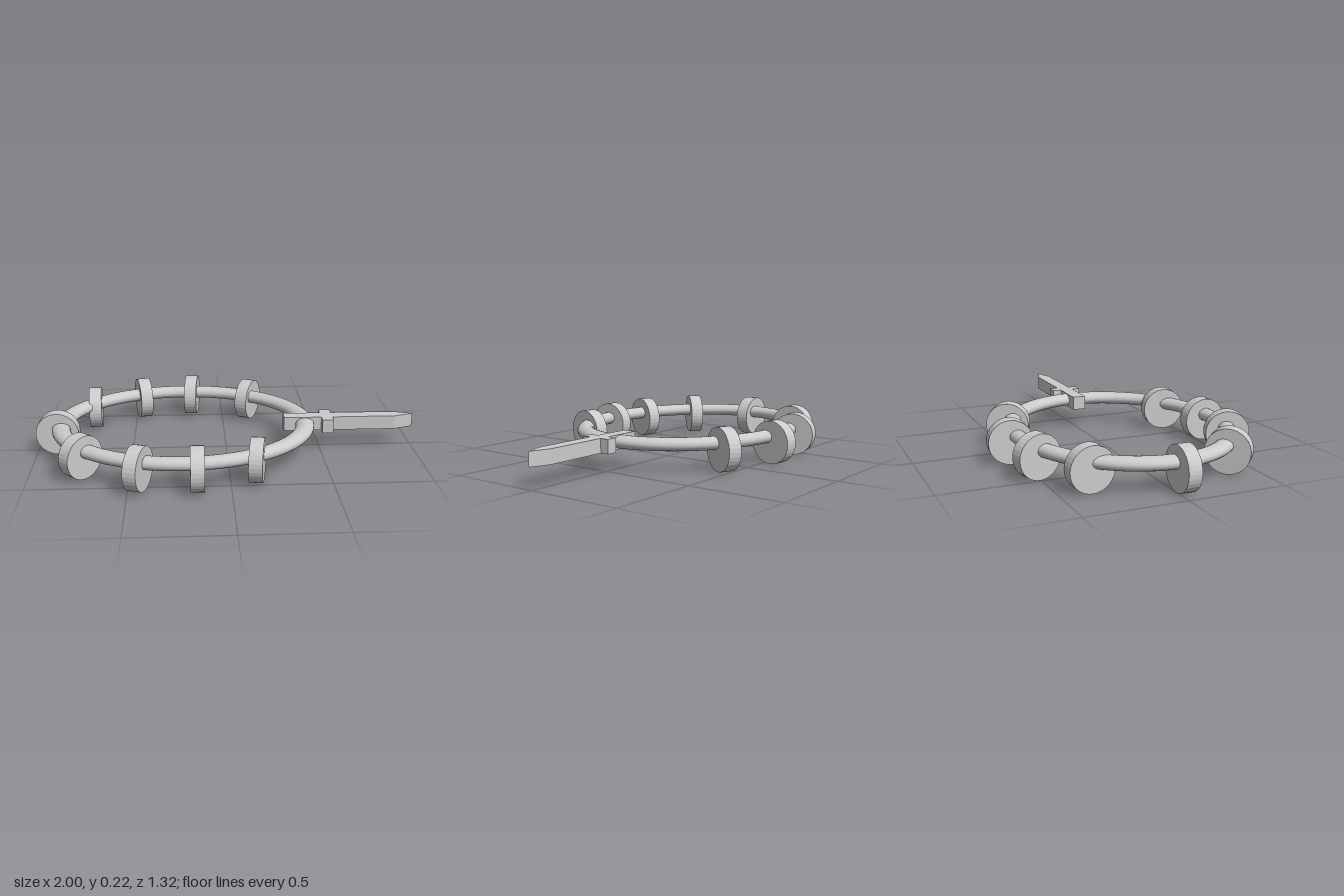
import * as THREE from 'three';

export function createModel() {
  const group = new THREE.Group();
  const smooth = new THREE.MeshStandardMaterial({ color: 0xcccccc });
  const flat = new THREE.MeshStandardMaterial({ color: 0xcccccc, flatShading: true });

  const add = (name, geometry, material, x, y, z) => {
    const mesh = new THREE.Mesh(geometry, material);
    mesh.name = name;
    mesh.position.set(x, y, z);
    group.add(mesh);
    return mesh;
  };

  // Oval ring: a torus laid flat and stretched
  const ringGeometry = new THREE.TorusGeometry(1, 0.076, 24, 96);
  ringGeometry.rotateX(Math.PI / 2);
  ringGeometry.scale(0.643, 0.44, 0.532);
  add('ring', ringGeometry, smooth, -0.226, 0.14, 0.012);

  // Upright disc beads threaded on the ring: x, z, turn in degrees
  const beadGeometry = new THREE.CylinderGeometry(0.112, 0.112, 0.068, 32);
  beadGeometry.rotateZ(Math.PI / 2);
  const beads = [
    [-0.888, 0.03, 90],
    [-0.735, 0.36, -43],
    [-0.447, 0.522, -20],
    [-0.164, 0.542, 0],
    [0.13, 0.45, -10],
    [0.147, -0.457, -26],
    [-0.176, -0.55, -7],
    [-0.459, -0.508, 13],
    [-0.724, -0.352, 3],
  ];
  beads.forEach(([x, z, turn], i) => {
    const bead = add(`bead${i + 1}`, beadGeometry, flat, x, 0.112, z);
    bead.rotation.y = THREE.MathUtils.degToRad(turn);
  });

  // Flat sword pendant: half outline mirrored about its long axis
  const half = [
    [0.305, 0.035], [0.504, 0.035], [0.504, 0.081], [0.563, 0.081],
    [0.563, 0.035], [0.9, 0.035],
  ];
  const outline = [
    ...half.map(([x, w]) => new THREE.Vector2(x, -w)),
    new THREE.Vector2(1, 0),
    ...half.slice().reverse().map(([x, w]) => new THREE.Vector2(x, w)),
  ];
  const swordGeometry = new THREE.ExtrudeGeometry(new THREE.Shape(outline), {
    depth: 0.073, bevelEnabled: false,
  });
  swordGeometry.rotateX(-Math.PI / 2);
  add('swordPendant', swordGeometry, flat, 0, 0.104, 0.013);

  return group;
}
